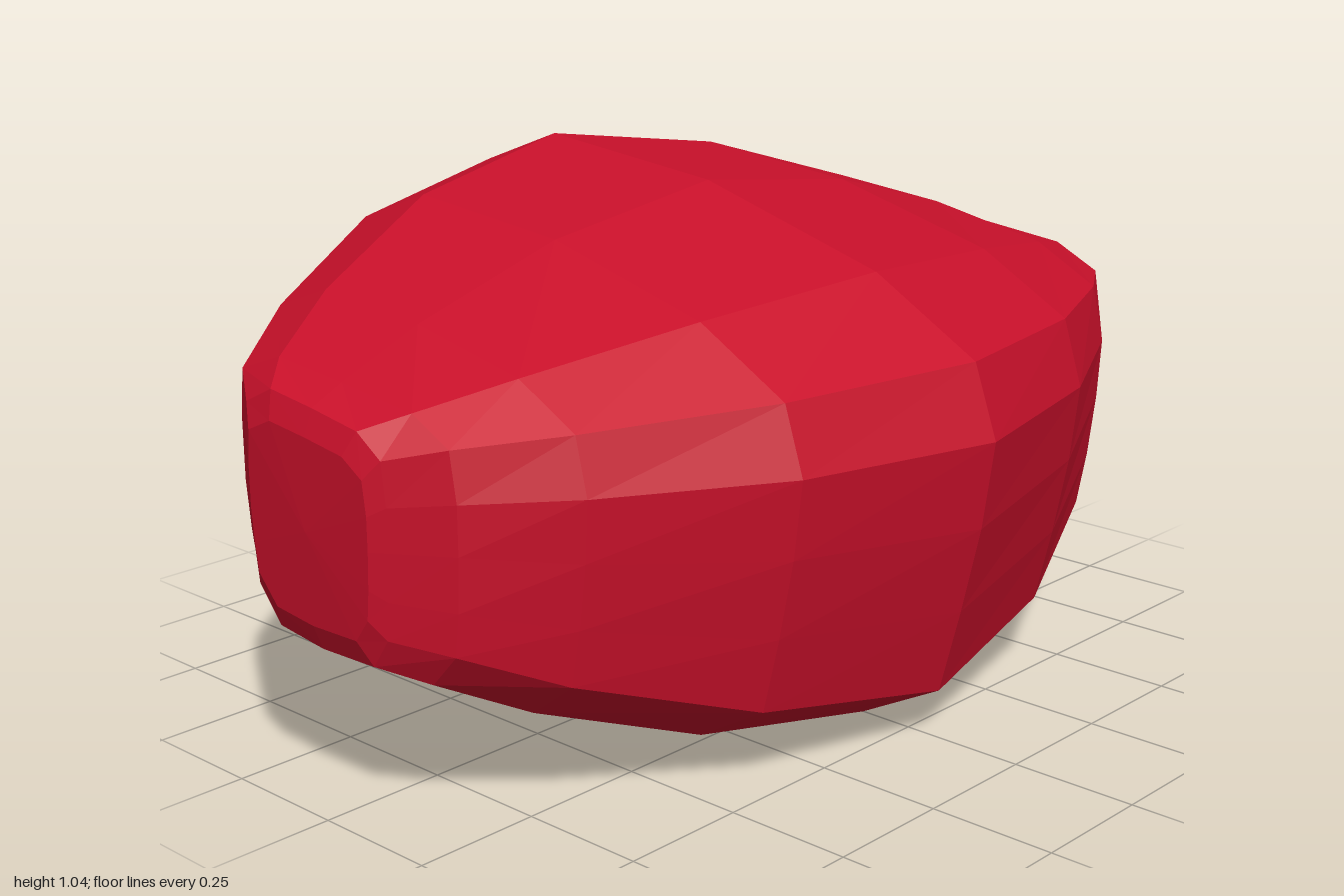
import * as THREE from 'three';

// Skewed cross-section at the middle, clockwise from the upper left corner
const MIDDLE = [
  [-0.65, 0.97], [-0.45, 1.045], [-0.02, 1.0], [0.4, 0.88],
  [0.63, 0.75], [0.68, 0.61], [0.655, 0.44], [0.615, 0.27],
  [0.57, 0.1], [0.39, 0.005], [-0.02, 0.022], [-0.43, 0.12],
  [-0.615, 0.245], [-0.65, 0.41], [-0.67, 0.6], [-0.685, 0.8],
];

// Squarer cross-section near the front tip, same order
const END = [
  [-0.3, 0.75], [-0.19, 0.79], [-0.02, 0.775], [0.16, 0.755],
  [0.25, 0.71], [0.265, 0.62], [0.265, 0.53], [0.26, 0.43],
  [0.25, 0.35], [0.19, 0.285], [-0.02, 0.28], [-0.2, 0.295],
  [-0.285, 0.37], [-0.3, 0.45], [-0.31, 0.54], [-0.31, 0.66],
];

const CX = -0.022, CY = 0.53;
const scaled = (profile, sx, sy, dy = 0) =>
  profile.map(([x, y]) => [CX + (x - CX) * sx, CY + dy + (y - CY) * sy]);
const blend = (a, b, t) =>
  a.map(([x, y], i) => [x + (b[i][0] - x) * t, y + (b[i][1] - y) * t]);

// Sections from the middle to one tip: z and outline
function halfSections(end, sign) {
  const body = [[0.41, 0.25], [0.74, 0.69], [0.91, 1]]
    .map(([z, t]) => ({ z: z * sign, outline: blend(MIDDLE, end, t) }));
  const tip = [[0.975, 0.65, 0.87], [0.994, 0.55, 0.68]]
    .map(([z, sx, sy]) => ({ z: z * sign, outline: scaled(end, sx, sy) }));
  return [...body, ...tip];
}

function loft(sections) {
  const n = MIDDLE.length;
  const positions = [];
  const index = [];
  for (const { z, outline } of sections)
    for (const [x, y] of outline) positions.push(x, y, z);

  // Skin between neighbouring sections
  for (let k = 0; k < sections.length - 1; k++) {
    for (let j = 0; j < n; j++) {
      const a = k * n + j, b = k * n + (j + 1) % n;
      index.push(a, a + n, b + n, a, b + n, b);
    }
  }

  // Slightly domed caps at both tips
  const back = positions.length / 3, front = back + 1;
  positions.push(CX, CY, -1, CX, CY, 1);
  const last = (sections.length - 1) * n;
  for (let j = 0; j < n; j++) {
    const next = (j + 1) % n;
    index.push(back, j, next, front, last + next, last + j);
  }

  const geometry = new THREE.BufferGeometry();
  geometry.setAttribute('position', new THREE.Float32BufferAttribute(positions, 3));
  geometry.setIndex(index);
  const faceted = geometry.toNonIndexed();
  faceted.computeVertexNormals();
  return faceted;
}

export function createModel() {
  const group = new THREE.Group();
  const backEnd = scaled(END, 1.13, 1.11, -0.012); // the back tip is a little fuller
  const sections = [
    ...halfSections(backEnd, -1).reverse(),
    { z: 0, outline: MIDDLE },
    ...halfSections(END, 1),
  ];
  const material = new THREE.MeshStandardMaterial({ color: 0xc8102a, flatShading: true });
  const body = new THREE.Mesh(loft(sections), material);
  body.name = 'facetedBody';
  group.add(body);
  return group;
}
